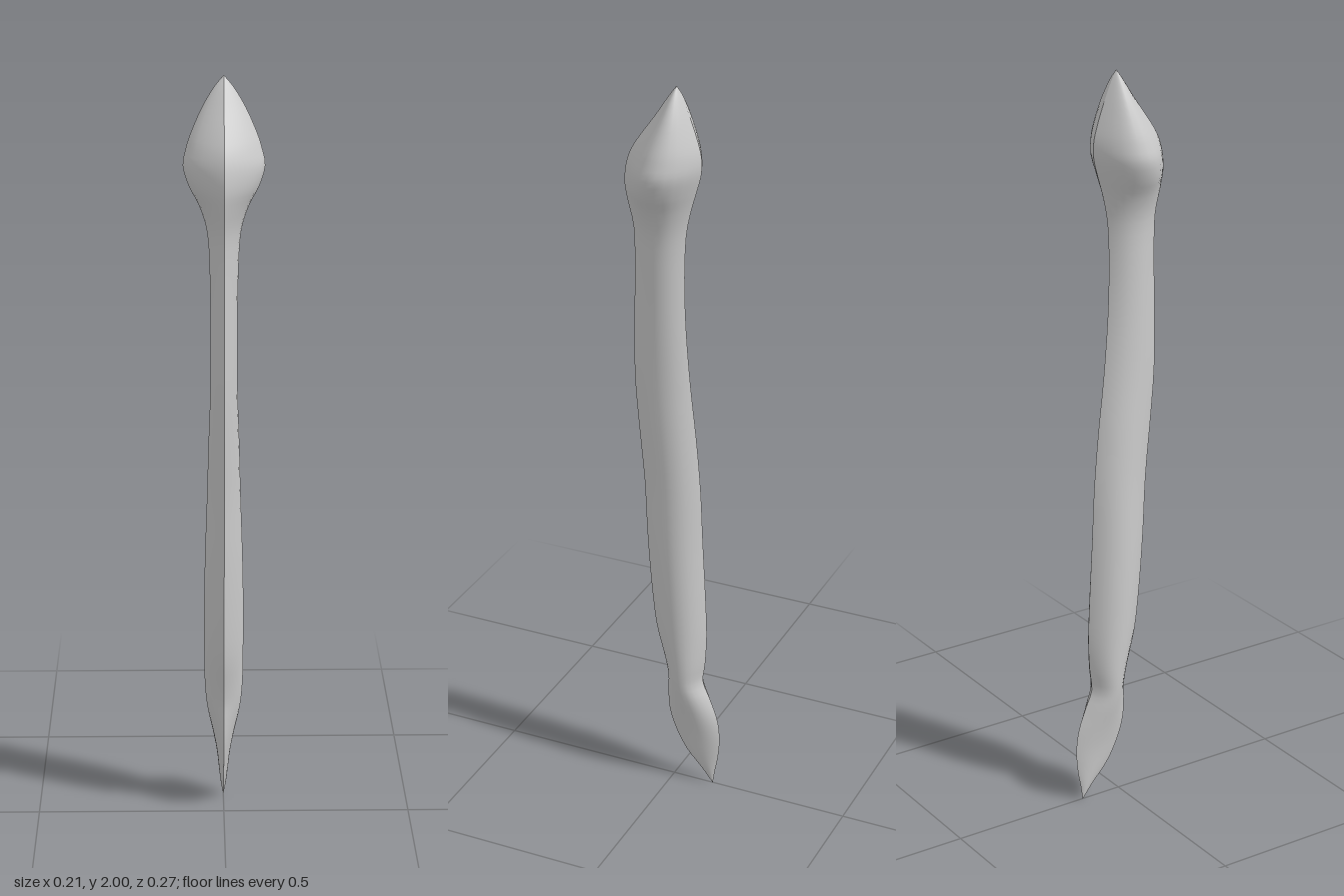
import * as THREE from 'three';

// Cross-sections from tip to tail: [y, front z, back z, half width]
const SECTIONS = [
  [2.0, -0.005, -0.006, 0.001],
  [1.97, 0.017, -0.022, 0.026],
  [1.92, 0.05, -0.043, 0.056],
  [1.86, 0.093, -0.064, 0.083],
  [1.82, 0.118, -0.073, 0.096],
  [1.78, 0.132, -0.072, 0.103],
  [1.73, 0.137, -0.059, 0.088],
  [1.68, 0.128, -0.045, 0.062],
  [1.61, 0.112, -0.032, 0.042],
  [1.5, 0.110, -0.028, 0.036],
  [1.36, 0.112, -0.032, 0.034],
  [1.2, 0.112, -0.045, 0.035],
  [1.05, 0.100, -0.062, 0.040],
  [0.9, 0.086, -0.075, 0.044],
  [0.75, 0.079, -0.082, 0.049],
  [0.6, 0.068, -0.090, 0.052],
  [0.47, 0.053, -0.095, 0.052],
  [0.38, 0.030, -0.091, 0.051],
  [0.32, 0.018, -0.085, 0.047],
  [0.27, 0.018, -0.105, 0.040],
  [0.21, 0.014, -0.127, 0.028],
  [0.15, -0.005, -0.135, 0.018],
  [0.09, -0.038, -0.131, 0.012],
  [0.04, -0.083, -0.122, 0.007],
  [0.0, -0.115, -0.116, 0.0005],
];
const ROWS = 72, COLS = 14;

// One half of the body: a lens outline with a keen front edge and fuller back
function halfLoft(side) {
  const edges = new THREE.CatmullRomCurve3(
    SECTIONS.map(([y, f, b]) => new THREE.Vector3(y, f, b)), false, 'catmullrom');
  const widths = new THREE.CatmullRomCurve3(
    SECTIONS.map(([y, , , w]) => new THREE.Vector3(w, y, 0)), false, 'catmullrom');
  const positions = [], index = [];
  for (let i = 0; i <= ROWS; i++) {
    const { x: y, y: front, z: back } = edges.getPoint(i / ROWS);
    const w = widths.getPoint(i / ROWS).x;
    for (let j = 0; j <= COLS; j++) {
      const s = Math.cos((j / COLS) * Math.PI);
      const x = w * (1 - Math.abs(s) ** (s > 0 ? 1.65 : 2.6));
      positions.push(side * x, y, (front + back) / 2 + (s * (front - back)) / 2);
      if (i === ROWS || j === COLS) continue;
      const a = i * (COLS + 1) + j, b = a + 1, c = a + COLS + 1, d = c + 1;
      if (side > 0) index.push(a, c, b, b, c, d);
      else index.push(a, b, c, b, d, c);
    }
  }
  const geometry = new THREE.BufferGeometry();
  geometry.setAttribute('position', new THREE.Float32BufferAttribute(positions, 3));
  geometry.setIndex(index);
  geometry.computeVertexNormals();
  return geometry;
}

export function createModel() {
  const group = new THREE.Group();
  group.name = 'bladedStalk';
  const material = new THREE.MeshStandardMaterial({ color: 0xcccccc });
  // Separate halves keep the front and back ridges crisp
  for (const [name, side] of [['leftHalf', 1], ['rightHalf', -1]]) {
    const mesh = new THREE.Mesh(halfLoft(side), material);
    mesh.name = name;
    group.add(mesh);
  }
  return group;
}
